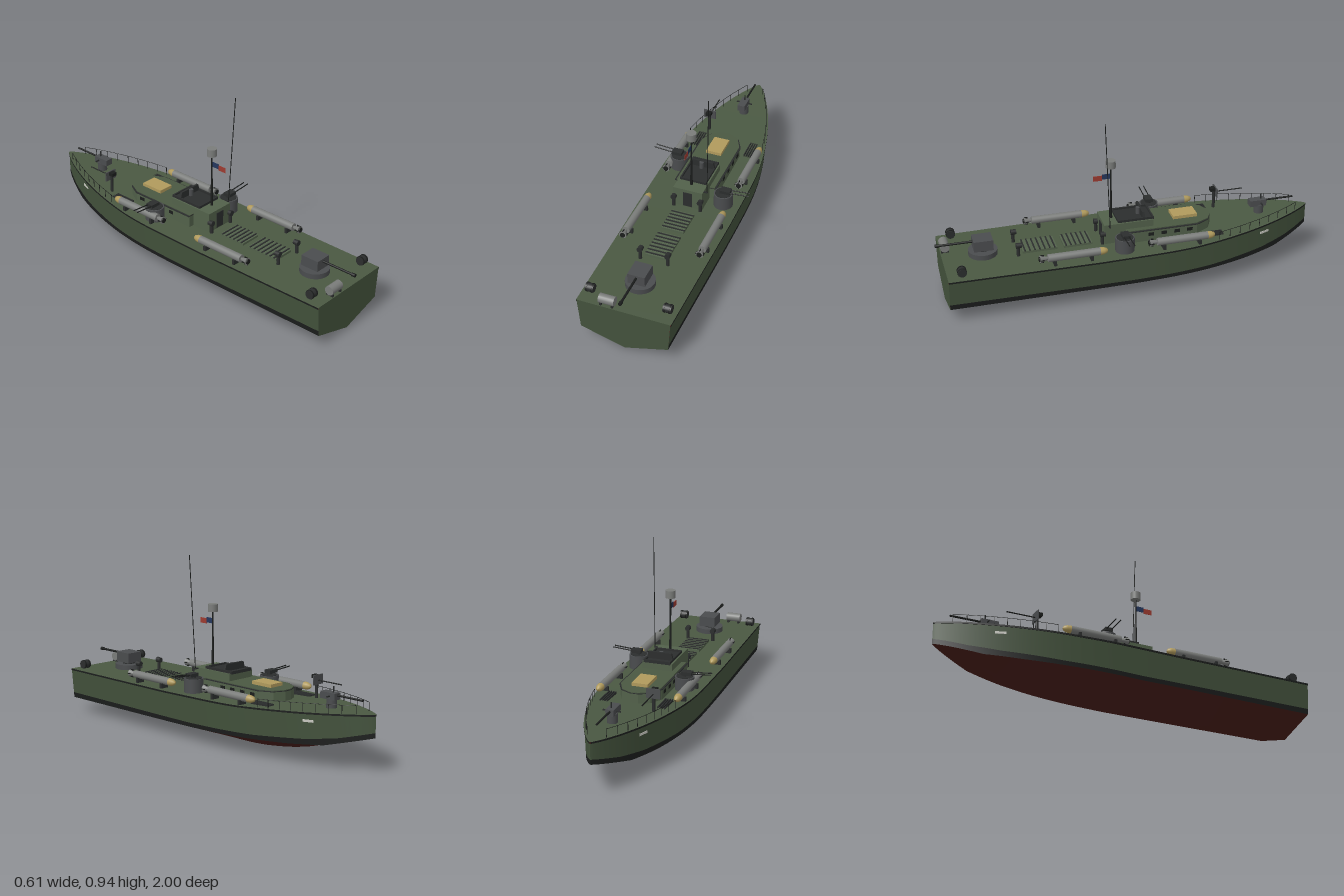
import * as THREE from 'three';

const C = { hull: 0x43523c, deck: 0x4a5842, house: 0x52614a, black: 0x1b1d1c, red: 0x4a1f1a, dark: 0x2b2d2d,
  steel: 0x4a4c4e, grey: 0x7a7c7a, tan: 0xb09a5c, blue: 0x24365c, flag: 0x9c3a30, pale: 0xc8c8c0 };
const mats = {};
const mat = (c) => (mats[c] ??= new THREE.MeshStandardMaterial({ color: C[c], side: THREE.DoubleSide }));

function add(parent, name, geo, color, x = 0, y = 0, z = 0) {
  const m = new THREE.Mesh(geo, mat(color));
  m.name = name;
  m.position.set(x, y, z);
  parent.add(m);
  return m;
}
const box = (p, n, c, w, h, d, x, y, z) => add(p, n, new THREE.BoxGeometry(w, h, d), c, x, y, z);
// Cylinder along an axis
function cyl(p, n, c, r, len, x, y, z, axis = 'y', r2 = r, seg = 20) {
  const g = new THREE.CylinderGeometry(r2, r, len, seg);
  if (axis === 'x') g.rotateZ(-Math.PI / 2);
  if (axis === 'z') g.rotateX(Math.PI / 2);
  return add(p, n, g, c, x, y, z);
}
// Thin rod between two points
function rod(p, n, c, r, a, b) {
  const path = new THREE.LineCurve3(new THREE.Vector3(...a), new THREE.Vector3(...b));
  return add(p, n, new THREE.TubeGeometry(path, 1, r, 6), c);
}
function group(parent, name, x = 0, y = 0, z = 0) {
  const g = new THREE.Group();
  g.name = name;
  g.position.set(x, y, z);
  parent.add(g);
  return g;
}

// Hull lines: values along z, bow at -1, stern at 0.97
function along(z, pts) {
  for (let i = 1; i < pts.length; i++) {
    const [z0, v0] = pts[i - 1], [z1, v1] = pts[i];
    if (z <= z1) return v0 + (v1 - v0) * (z - z0) / (z1 - z0);
  }
  return pts[pts.length - 1][1];
}
const beam = (z) => z < -0.1 ? 0.25 * Math.pow(Math.max(0, 1 - ((-0.1 - z) / 0.9) ** 2), 0.85)
  : 0.25 - 0.01 * Math.max(0, (z - 0.2) / 0.77);
const deckY = (z) => along(z, [[-1, 0.285], [-0.7, 0.27], [-0.3, 0.252], [0.2, 0.243], [0.97, 0.24]]);
const bootY = (z) => along(z, [[-1, 0.2], [-0.85, 0.163], [-0.7, 0.141], [-0.4, 0.119], [0, 0.107], [0.97, 0.105]]);
const chineY = (z) => along(z, [[-1, 0.175], [-0.78, 0.12], [-0.6, 0.106], [-0.4, 0.097], [0, 0.085], [0.97, 0.077]]);
const keelY = (z) => along(z, [[-1, 0.175], [-0.78, 0.12], [-0.7, 0.088], [-0.6, 0.057], [-0.5, 0.034], [-0.4, 0.018],
  [-0.3, 0.006], [-0.2, 0], [0.2, 0.003], [0.97, 0.01]]);

// Skin between two lines a(z) and b(z), each giving [x, y]
function strip(parent, name, color, a, b) {
  const pos = [], idx = [], n = 56;
  for (let i = 0; i <= n; i++) {
    const z = -1 + 1.97 * Math.pow(i / n, 1.5);
    pos.push(...a(z), z, ...b(z), z);
    if (i < n) idx.push(2 * i, 2 * i + 2, 2 * i + 1, 2 * i + 1, 2 * i + 2, 2 * i + 3);
  }
  const g = new THREE.BufferGeometry();
  g.setAttribute('position', new THREE.Float32BufferAttribute(pos, 3));
  g.setIndex(idx);
  g.computeVertexNormals();
  add(parent, name, g, color);
}

function buildHull(parent) {
  const hull = group(parent, 'hull');
  for (const s of [1, -1]) {
    const lines = [
      (z) => [s * (beam(z) + 0.003), deckY(z) + 0.003],
      (z) => [s * (beam(z) + 0.003), deckY(z) - 0.006],
      (z) => [s * beam(z), deckY(z) - 0.006],
      (z) => [s * beam(z) * 0.955, bootY(z)],
      (z) => [s * beam(z) * 0.945, chineY(z)],
      (z) => [0, keelY(z)],
    ];
    [['rubRail', 'black'], ['rubRailUnderside', 'black'], ['topsides', 'hull'], ['bootStripe', 'black'], ['bottom', 'red']]
      .forEach(([n, c], i) => strip(hull, n, c, lines[s > 0 ? i : i + 1], lines[s > 0 ? i + 1 : i]));
  }
  strip(hull, 'deck', 'deck', (z) => [-beam(z) - 0.003, deckY(z) + 0.003], (z) => [beam(z) + 0.003, deckY(z) + 0.003]);
  const t = new THREE.Shape([[0, 0.01], [0.227, 0.077], [0.229, 0.105], [0.24, 0.243], [-0.24, 0.243], [-0.229, 0.105],
    [-0.227, 0.077]].map((p) => new THREE.Vector2(...p)));
  add(hull, 'transom', new THREE.ShapeGeometry(t), 'hull', 0, 0, 0.97);
}

// Horizontal plate or block from a half outline of [x, z] pairs
function block(parent, name, color, half, y0, y1, scale = 1) {
  const pts = [...half, ...half.slice().reverse().map(([x, z]) => [-x, z])];
  const s = new THREE.Shape(pts.map(([x, z]) => new THREE.Vector2(x * scale, -z)));
  const g = new THREE.ExtrudeGeometry(s, { depth: y1 - y0, bevelEnabled: false });
  return add(parent, name, g.rotateX(-Math.PI / 2), color, 0, y0, 0);
}

function buildHouse(parent) {
  const house = group(parent, 'deckhouse');
  const plan = [[0.11, 0.03], [0.11, -0.35], [0.075, -0.42], [0.02, -0.448]];
  block(house, 'cabin', 'house', plan, 0.24, 0.31);
  block(house, 'cabinRoof', 'dark', plan, 0.31, 0.314, 1.05);
  block(house, 'roofTop', 'deck', plan, 0.314, 0.318, 0.97);
  box(house, 'roofHatch', 'tan', 0.085, 0.018, 0.13, 0, 0.326, -0.305);
  for (const s of [1, -1]) for (const z of [-0.31, -0.24, -0.17, -0.1])
    box(house, 'cabinWindow', 'black', 0.004, 0.018, 0.03, s * 0.11, 0.288, z);

  // Open bridge with a dark cockpit well
  const bridge = group(parent, 'bridge');
  box(bridge, 'bridgeBase', 'house', 0.16, 0.115, 0.26, 0, 0.2975, 0.01);
  box(bridge, 'cockpitFloor', 'dark', 0.125, 0.004, 0.18, 0, 0.357, -0.03);
  for (const s of [1, -1]) box(bridge, 'cockpitSide', 'dark', 0.008, 0.016, 0.19, s * 0.068, 0.36, -0.03);
  for (const z of [-0.121, 0.062]) box(bridge, 'cockpitEnd', 'dark', 0.136, 0.016, 0.008, 0, 0.36, z);
  const screen = new THREE.Shape([[-0.072, 0], [0.072, 0], [0.062, 0.036], [-0.062, 0.036]].map((p) => new THREE.Vector2(...p)));
  add(bridge, 'windscreen', new THREE.ExtrudeGeometry(screen, { depth: 0.012, bevelEnabled: false }), 'dark', 0, 0.36, -0.078);
  cyl(bridge, 'binnacle', 'steel', 0.012, 0.036, 0, 0.377, -0.06);
  box(bridge, 'aftDoor', 'dark', 0.05, 0.085, 0.004, 0, 0.295, 0.141);

  // Mast, radar, pennant and whip aerial
  const mast = group(parent, 'mast');
  cyl(mast, 'mastLower', 'black', 0.007, 0.16, 0, 0.43, 0.085, 'y', 0.005, 10);
  cyl(mast, 'mastUpper', 'black', 0.004, 0.16, 0, 0.58, 0.085, 'y', 0.004, 10);
  cyl(mast, 'radarDrum', 'grey', 0.026, 0.04, 0, 0.663, 0.085);
  box(mast, 'pennantBlue', 'blue', 0.002, 0.028, 0.042, 0, 0.594, 0.11);
  box(mast, 'pennantRed', 'flag', 0.002, 0.028, 0.046, 0, 0.588, 0.154);
  rod(mast, 'whipAerial', 'black', 0.0022, [0.097, 0.355, 0.115], [0.112, 0.94, 0.14]);
  box(mast, 'aerialBracket', 'dark', 0.022, 0.006, 0.008, 0.089, 0.35, 0.115);
}

function buildTorpedo(parent, x, z) {
  const t = group(parent, 'torpedo', x, deckY(z) + 0.042, z);
  cyl(t, 'torpedoBody', 'grey', 0.02, 0.27, 0, 0, 0, 'z');
  const nose = new THREE.LatheGeometry([[0.02, 0], [0.018, 0.02], [0.012, 0.035], [0, 0.042]].map((p) => new THREE.Vector2(...p)), 20);
  add(t, 'torpedoNose', nose.rotateX(-Math.PI / 2), 'tan', 0, 0, -0.135);
  cyl(t, 'torpedoTail', 'grey', 0.007, 0.04, 0, 0, 0.155, 'z', 0.02).rotation.y = 0;
  box(t, 'tailFin', 'black', 0.044, 0.003, 0.02, 0, 0, 0.165);
  box(t, 'tailFin', 'black', 0.003, 0.044, 0.02, 0, 0, 0.165);
  cyl(t, 'propeller', 'black', 0.013, 0.006, 0, 0, 0.178, 'z');
  for (const dz of [-0.09, 0.1]) box(t, 'cradle', 'dark', 0.046, 0.03, 0.014, 0, -0.028, dz);
}

// Tub with twin guns pointing outboard
function buildTub(parent, s, z) {
  const t = group(parent, 'gunTub', s * 0.165, 0, z);
  cyl(t, 'tub', 'steel', 0.05, 0.08, 0, 0.282, 0, 'y', 0.05, 28);
  cyl(t, 'tubWell', 'dark', 0.043, 0.004, 0, 0.322, 0, 'y', 0.043, 28);
  cyl(t, 'pivot', 'dark', 0.012, 0.02, 0, 0.33, 0);
  box(t, 'gunBody', 'dark', 0.055, 0.017, 0.04, s * 0.012, 0.34, 0);
  for (const dz of [-0.013, 0.013]) rod(t, 'barrel', 'black', 0.003, [s * 0.03, 0.341, dz], [s * 0.14, 0.349, dz]);
}

function buildGuns(parent) {
  buildTub(parent, -1, -0.165);
  buildTub(parent, 1, 0.055);

  const aft = group(parent, 'aftGun', 0, 0, 0.76);
  cyl(aft, 'turntable', 'steel', 0.075, 0.03, 0, 0.256, 0, 'y', 0.075, 28);
  cyl(aft, 'pedestal', 'dark', 0.035, 0.02, 0, 0.277, 0);
  box(aft, 'gunHouse', 'steel', 0.09, 0.056, 0.1, 0, 0.308, 0);
  cyl(aft, 'barrel', 'black', 0.006, 0.18, 0, 0.32, 0.13, 'z');
  cyl(aft, 'muzzle', 'black', 0.009, 0.02, 0, 0.32, 0.23, 'z');

  const bow = group(parent, 'bowGun', 0, 0, -0.73);
  cyl(bow, 'pedestal', 'steel', 0.026, 0.055, 0, 0.295, 0);
  box(bow, 'gunBody', 'steel', 0.042, 0.034, 0.09, 0, 0.334, 0.01);
  box(bow, 'crossBar', 'dark', 0.09, 0.006, 0.006, 0, 0.335, -0.005);
  box(bow, 'sight', 'dark', 0.005, 0.03, 0.005, 0, 0.366, -0.01);
  cyl(bow, 'barrel', 'black', 0.005, 0.16, 0, 0.34, -0.11, 'z');

  const mg = group(parent, 'shieldedGun', -0.13, 0, -0.52);
  cyl(mg, 'post', 'dark', 0.008, 0.1, 0, 0.31, 0);
  box(mg, 'shield', 'steel', 0.07, 0.05, 0.006, 0, 0.36, -0.008);
  box(mg, 'breech', 'black', 0.03, 0.018, 0.03, 0, 0.374, 0.008);
  cyl(mg, 'barrel', 'black', 0.003, 0.16, 0, 0.357, -0.08, 'z');
}

function buildFittings(parent) {
  const fit = group(parent, 'deckFittings');
  // Slatted engine hatches
  for (const [z, len, n] of [[0.275, 0.15, 6], [0.475, 0.18, 7]]) {
    box(fit, 'engineHatch', 'house', 0.12, 0.014, len, 0, 0.25, z);
    for (let i = 0; i < n; i++)
      box(fit, 'hatchSlat', 'dark', 0.122, 0.004, 0.007, 0, 0.259, z - len / 2 + len * (i + 0.5) / n);
  }
  for (const s of [1, -1]) {
    for (let i = 0; i < 4; i++) box(fit, 'deckGrating', 'dark', 0.005, 0.012, 0.12, s * (0.132 + i * 0.012), 0.264, -0.415);
    // Cowl ventilators
    for (const z of [0.15, 0.59]) {
      cyl(fit, 'ventPipe', 'dark', 0.009, 0.06, s * 0.073, 0.272, z);
      cyl(fit, 'ventCowl', 'dark', 0.013, 0.028, s * 0.073, 0.303, z - 0.003, 'z', 0.015);
    }
    // Stern depth charges
    cyl(fit, 'depthCharge', 'dark', 0.022, 0.042, s * 0.2, 0.273, 0.897, 'x');
    for (const d of [-0.013, 0.013]) cyl(fit, 'chargeBand', 'black', 0.024, 0.006, s * 0.2 + d, 0.273, 0.897, 'x');
    const anchor = box(fit, 'bowAnchor', 'pale', 0.006, 0.012, 0.055, s * beam(-0.71) * 0.985, 0.232, -0.71);
    anchor.rotation.y = s * 0.36;
    // Bow rail
    const top = [];
    for (let i = 0; i < 9; i++) {
      const z = -0.44 - i * 0.06, x = s * (beam(z) - 0.008), y = deckY(z);
      rod(fit, 'stanchion', 'black', 0.0016, [x, y, z], [x, y + 0.045, z]);
      top.push(new THREE.Vector3(x, y + 0.045, z));
    }
    add(fit, 'handRail', new THREE.TubeGeometry(new THREE.CatmullRomCurve3(top), 32, 0.0013, 5), 'black');
  }
  cyl(fit, 'smokeDrum', 'grey', 0.024, 0.08, -0.09, 0.273, 0.945, 'x');
  for (const d of [-0.03, 0.03]) box(fit, 'drumChock', 'dark', 0.01, 0.012, 0.04, -0.09 + d, 0.249, 0.945);
}

export function createModel() {
  const boat = new THREE.Group();
  boat.name = 'torpedoBoat';
  buildHull(boat);
  buildHouse(boat);
  for (const x of [-0.205, 0.205]) for (const z of [-0.24, 0.33]) buildTorpedo(boat, x, z);
  buildGuns(boat);
  buildFittings(boat);
  return boat;
}
